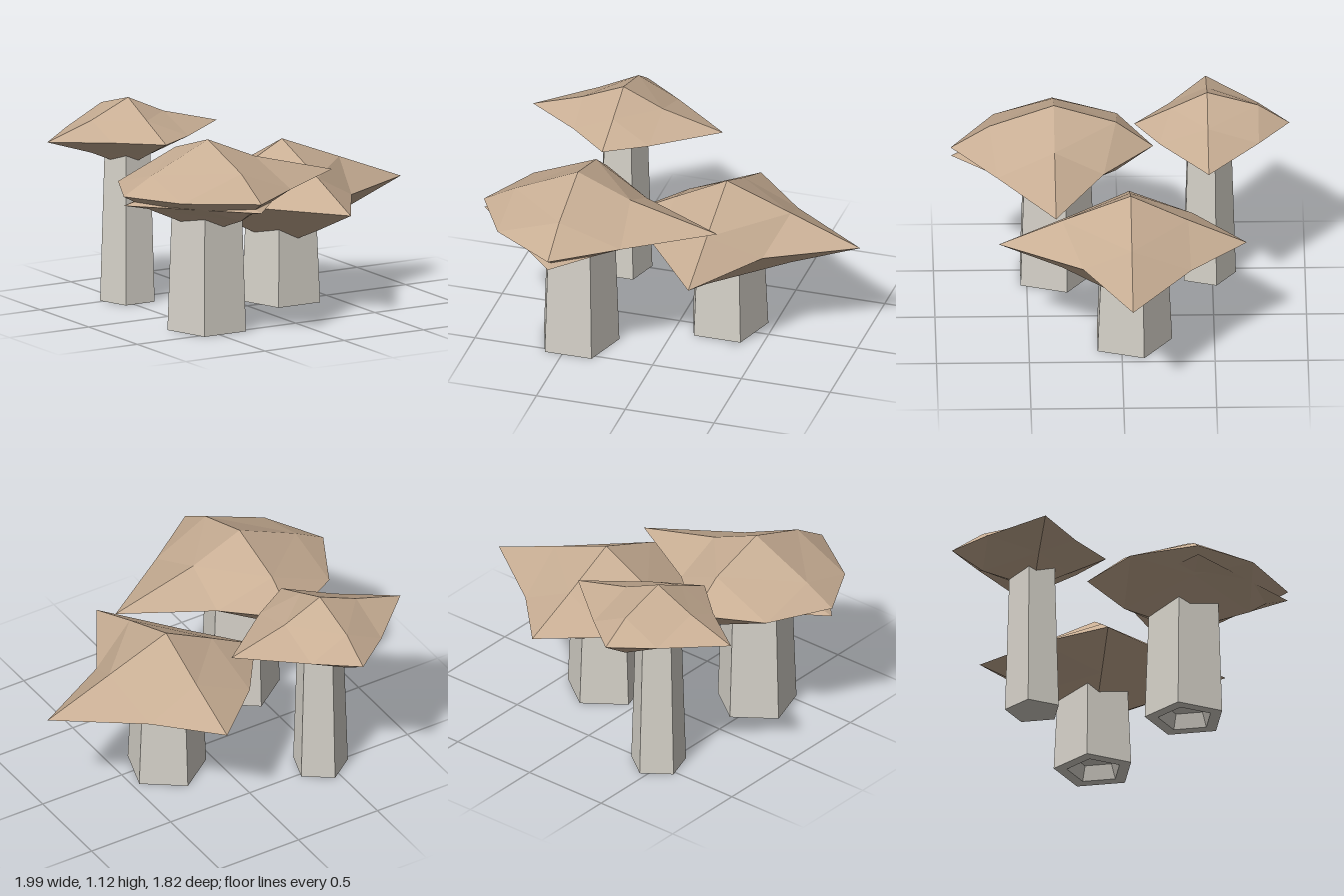
import * as THREE from 'three';

const stemMaterial = new THREE.MeshStandardMaterial({ color: 0xd6d2c9, flatShading: true });
const capMaterial = new THREE.MeshStandardMaterial({ color: 0xc8ae94, flatShading: true });

// The four rim directions, in order +x, +z, -x, -z.
const DIRS = [[1, 0], [0, 1], [-1, 0], [0, -1]];

// Faceted cap: four rim tips, a rim corner between each pair of tips,
// and a slope point between each tip and the top; the underside mirrors the top.
function capGeometry({ height, tips, corners, slopes }) {
  const positions = [];
  const tri = (up, ...pts) => {
    for (const p of up > 0 ? pts : pts.reverse()) positions.push(p[0], p[1] * up, p[2]);
  };
  for (const up of [1, -1]) {
    for (let i = 0; i < 4; i++) {
      const j = (i + 1) % 4;
      const tip = (k) => [DIRS[k][0] * tips[k], 0, DIRS[k][1] * tips[k]];
      const slope = (k) => [DIRS[k][0] * slopes[k][0], slopes[k][1], DIRS[k][1] * slopes[k][0]];
      const corner = [corners[i][0], 0, corners[i][1]];
      tri(up, [0, height, 0], slope(j), slope(i));
      tri(up, slope(j), tip(j), corner);
      tri(up, slope(i), corner, tip(i));
      tri(up, slope(j), corner, slope(i));
    }
  }
  const geometry = new THREE.BufferGeometry();
  geometry.setAttribute('position', new THREE.Float32BufferAttribute(positions, 3));
  geometry.computeVertexNormals();
  return geometry;
}

// Five-sided tapered stem, optionally with a hollow in its foot.
function stemGeometry(bottom, top, height, hollow) {
  const foot = hollow ? [[0, 0.08], [bottom * 0.55, 0.08], [bottom * 0.68, 0]] : [[0, 0]];
  const profile = [...foot, [bottom, 0], [top, height], [0, height]];
  return new THREE.LatheGeometry(profile.map(([r, y]) => new THREE.Vector2(r, y)), 5, Math.PI);
}

const MUSHROOMS = [
  {
    name: 'frontMushroom', x: -0.465, z: 0.353, rimY: 0.785,
    stem: [0.223, 0.195, true],
    cap: {
      height: 0.255,
      tips: [0.785, 0.555, 0.53, 0.535],
      corners: [[0.335, 0.31], [-0.355, 0.32], [-0.355, -0.345], [0.305, -0.265]],
      slopes: [[0.295, 0.13], [0.347, 0.13], [0.355, 0.095], [0.335, 0.15]],
    },
    lip: true,
  },
  {
    name: 'sideMushroom', x: 0.25, z: -0.05, rimY: 0.592,
    stem: [0.223, 0.195, true],
    cap: {
      height: 0.293,
      tips: [0.75, 0.71, 0.565, 0.625],
      corners: [[0.28, 0.26], [-0.31, 0.31], [-0.32, -0.34], [0.3, -0.32]],
      slopes: [[0.36, 0.153], [0.37, 0.145], [0.29, 0.145], [0.31, 0.142]],
    },
  },
  {
    name: 'backMushroom', x: -0.462, z: -0.473, rimY: 0.925,
    stem: [0.155, 0.127, false],
    cap: {
      height: 0.19,
      tips: [0.56, 0.393, 0.51, 0.443],
      corners: [[0.222, 0.26], [-0.22, 0.2], [-0.22, -0.275], [0.224, -0.275]],
      slopes: [[0.222, 0.09], [0.195, 0.095], [0.23, 0.09], [0.275, 0.11]],
    },
  },
];

export function createModel() {
  const model = new THREE.Group();
  model.name = 'mushroomCluster';
  for (const { name, x, z, rimY, stem, cap, lip } of MUSHROOMS) {
    const mushroom = new THREE.Group();
    mushroom.name = name;
    mushroom.position.set(x, 0, z);
    const add = (part, geometry, material, y) => {
      const mesh = new THREE.Mesh(geometry, material);
      mesh.name = part;
      mesh.position.y = y;
      mushroom.add(mesh);
    };
    add('stem', stemGeometry(stem[0], stem[1], rimY, stem[2]), stemMaterial, 0);
    add('cap', capGeometry(cap), capMaterial, rimY);
    // Thin second rim that peeks out below the cap tips.
    if (lip) {
      const tips = [0.5, 0.553, 0.528, 0.35];
      const corners = tips.map((t, i) => {
        const j = (i + 1) % 4;
        return [0, 1].map((a) => (DIRS[i][a] * t + DIRS[j][a] * tips[j]) / 2);
      });
      const slopes = tips.map((t) => [t / 2, 0.06]);
      add('lowerRim', capGeometry({ height: 0.12, tips, corners, slopes }), capMaterial, 0.735);
    }
    model.add(mushroom);
  }
  return model;
}
